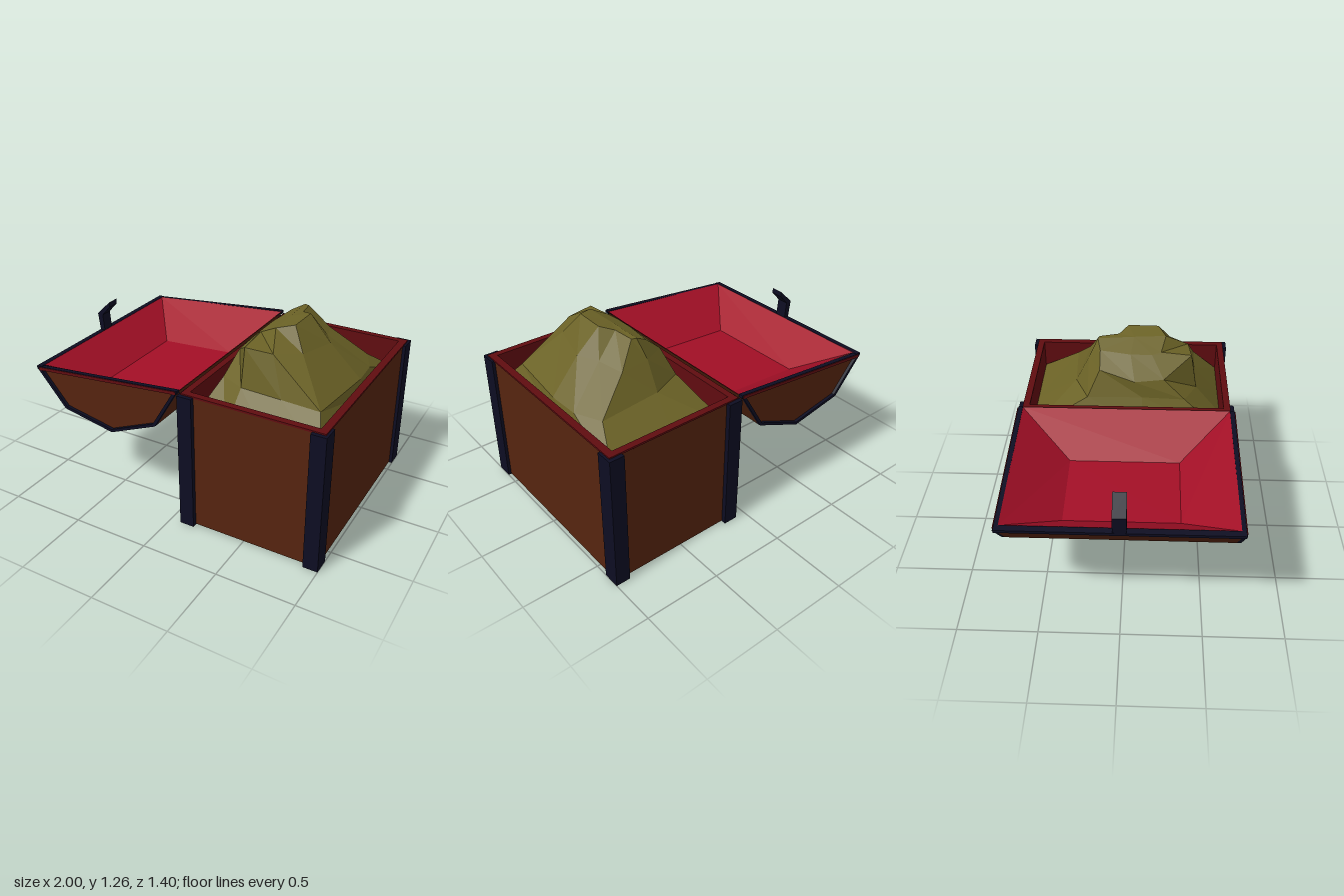
import * as THREE from 'three';

const mat = (name, color, extra = {}) =>
  Object.assign(new THREE.MeshStandardMaterial({ color, ...extra }), { name });

// Flat-faced geometry from a list of quads (four corners each)
function quads(list) {
  const pos = [];
  for (const [a, b, c, d] of list) pos.push(...a, ...b, ...c, ...a, ...c, ...d);
  const g = new THREE.BufferGeometry();
  g.setAttribute('position', new THREE.Float32BufferAttribute(pos, 3));
  g.computeVertexNormals();
  return g;
}

const shapeOf = (pts) => new THREE.Shape(pts.map(([x, y]) => new THREE.Vector2(x, y)));
const rect = (x0, x1, z) => [[x0, -z], [x1, -z], [x1, z], [x0, z]];

// Rectangular frame lying flat between heights y0 and y1
function frame(outer, inner, y0, y1) {
  const s = shapeOf(outer);
  s.holes.push(shapeOf(inner));
  const g = new THREE.ExtrudeGeometry(s, { depth: y1 - y0, bevelEnabled: false });
  return g.rotateX(-Math.PI / 2).translate(0, y0, 0);
}

export function createModel() {
  const brown = mat('brown wood', 0x55240f, { side: THREE.DoubleSide });
  const navy = mat('navy metal', 0x0d0d22, { side: THREE.DoubleSide });
  const crimson = mat('crimson lining', 0xa30f26, { side: THREE.DoubleSide });
  const darkRed = mat('dark red rim', 0x600c10, { side: THREE.DoubleSide });
  const gold = mat('old gold', 0x6b6226, { side: THREE.DoubleSide });

  const model = new THREE.Group();
  model.name = 'openChest';
  const add = (parent, name, geo, material) => {
    const m = new THREE.Mesh(geo, material);
    m.name = name;
    parent.add(m);
    return m;
  };
  const box = (parent, name, material, w, h, d, x, y, z) =>
    add(parent, name, new THREE.BoxGeometry(w, h, d).translate(x, y, z), material);

  // Chest body: walls, floor, rim and lining
  const body = new THREE.Group();
  body.name = 'body';
  model.add(body);
  add(body, 'walls', frame(rect(0.085, 0.98, 0.67), rect(0.12, 0.94, 0.635), 0.005, 0.9), brown);
  box(body, 'floor', brown, 0.89, 0.02, 1.335, 0.5325, 0.015, 0);
  add(body, 'rim', frame(rect(0.08, 0.985, 0.675), rect(0.122, 0.938, 0.632), 0.898, 0.91), darkRed);
  const lining = rect(0.123, 0.937, 0.631);
  add(body, 'lining', quads(lining.map(([x, z], i) => {
    const [x2, z2] = lining[(i + 1) % 4];
    return [[x, 0.5, z], [x2, 0.5, z2], [x2, 0.9, z2], [x, 0.9, z]];
  })), darkRed);

  // Angle-section corner posts
  for (const [x, dir] of [[0.07, 1], [1, -1]]) {
    for (const side of [1, -1]) {
      const post = new THREE.Group();
      post.name = 'cornerPost';
      body.add(post);
      box(post, 'postAlongX', navy, 0.095, 0.902, 0.04, x + dir * 0.0475, 0.451, side * 0.68);
      box(post, 'postAlongZ', navy, 0.04, 0.902, 0.075, x + dir * 0.02, 0.451, side * 0.6275);
    }
  }

  // Lid shell, lying open
  const lid = new THREE.Group();
  lid.name = 'lid';
  model.add(lid);
  const profile = [[-0.98, 0.82], [-0.78, 0.58], [-0.42, 0.51], [-0.09, 0.65], [0.07, 0.92]];
  const strips = [];
  for (let i = 0; i < 4; i++) {
    const [[x, y], [x2, y2]] = [profile[i], profile[i + 1]];
    strips.push([[x, y, -0.68], [x2, y2, -0.68], [x2, y2, 0.68], [x, y, 0.68]]);
  }
  add(lid, 'lidShell', quads(strips), brown);

  // Lid ends with metal edging
  const inset = profile.map(([x, y]) => [-0.45 + (x + 0.45) * 0.955, 0.87 + (y - 0.87) * 0.945]);
  const edging = shapeOf([...profile, ...inset.reverse()]);
  const tilt = Math.atan2(0.1, 1.05);
  for (const side of [1, -1]) {
    add(lid, 'lidEnd', new THREE.ShapeGeometry(shapeOf(profile)).translate(0, 0, side * 0.68), brown);
    add(lid, 'lidEdging', new THREE.ExtrudeGeometry(edging, { depth: 0.025, bevelEnabled: false })
      .translate(0, 0, side * 0.6875 - 0.0125), navy);
    const bar = box(lid, 'lidRimBar', navy, 1.055, 0.02, 0.028, 0, 0, 0);
    bar.position.set(-0.455, 0.868, side * 0.682);
    bar.rotation.z = tilt;
    const stripe = box(lid, 'lidRimStripe', darkRed, 1.03, 0.02, 0.004, 0, 0, 0);
    stripe.position.set(-0.45, 0.867, side * 0.7);
    stripe.rotation.z = tilt;
  }
  const lip = box(lid, 'lidFrontBar', navy, 0.04, 0.02, 1.39, 0, 0, 0);
  lip.position.set(-0.967, 0.823, 0);
  lip.rotation.z = tilt;

  // Sunken lid lining
  const top = [[-0.95, 0.835, -0.67], [0.07, 0.925, -0.67], [0.07, 0.925, 0.67], [-0.95, 0.835, 0.67]];
  const low = [[-0.7, 0.65, -0.35], [-0.17, 0.68, -0.35], [-0.17, 0.68, 0.35], [-0.7, 0.65, 0.35]];
  const faces = top.map((p, i) => [p, low[i], low[(i + 1) % 4], top[(i + 1) % 4]]);
  add(lid, 'lidLining', quads([...faces, [low[3], low[2], low[1], low[0]]]), crimson);

  // Bent latch on the lid edge
  const latch = shapeOf([[-0.985, 0.82], [-1, 0.95], [-0.895, 1.05], [-0.895, 1.015], [-0.96, 0.945], [-0.95, 0.82]]);
  add(lid, 'latch', new THREE.ExtrudeGeometry(latch, { depth: 0.08, bevelEnabled: false })
    .translate(0, 0, -0.04), navy);

  // Faceted heap: rings from the bottom up
  const rings = [
    [[0.937, 0.8, 0], [0.937, 0.72, 0.63], [0.62, 0.72, 0.63], [0.35, 0.72, 0.63], [0.123, 0.72, 0.63],
      [0.123, 0.76, 0.1], [0.123, 0.72, -0.63], [0.5, 0.72, -0.63], [0.937, 0.72, -0.63], [0.937, 0.78, -0.25]],
    [[0.915, 0.91, 0], [0.86, 0.9, 0.46], [0.62, 0.91, 0.46], [0.36, 0.92, 0.46], [0.2, 0.92, 0.38],
      [0.2, 0.93, 0.1], [0.21, 0.92, -0.26], [0.42, 0.92, -0.35], [0.82, 0.9, -0.37], [0.9, 0.9, -0.2]],
    [[0.72, 1.11, 0.02], [0.66, 1.13, 0.28], [0.53, 1.15, 0.4], [0.36, 1.16, 0.42], [0.23, 1.05, 0.24],
      [0.21, 1.04, 0.05], [0.27, 1.09, -0.18], [0.42, 1.1, -0.26], [0.6, 1.08, -0.26], [0.65, 1.1, -0.1]],
    [[0.575, 1.26, 0], [0.57, 1.26, 0.2], [0.47, 1.24, 0.25], [0.36, 1.18, 0.22], [0.34, 1.17, 0.16],
      [0.34, 1.17, 0.02], [0.37, 1.18, -0.18], [0.45, 1.225, -0.2], [0.48, 1.225, -0.19], [0.5, 1.235, -0.06]],
  ];
  const heap = [];
  for (let r = 0; r < 3; r++) {
    for (let i = 0; i < 10; i++) {
      const j = (i + 1) % 10;
      heap.push([rings[r][i], rings[r + 1][i], rings[r + 1][j], rings[r][j]]);
    }
  }
  const crown = [0.46, 1.235, 0.04];
  rings[3].forEach((p, i) => heap.push([p, crown, crown, rings[3][(i + 1) % 10]]));
  add(model, 'treasureHeap', quads(heap), gold);
  gold.flatShading = true;

  return model;
}
